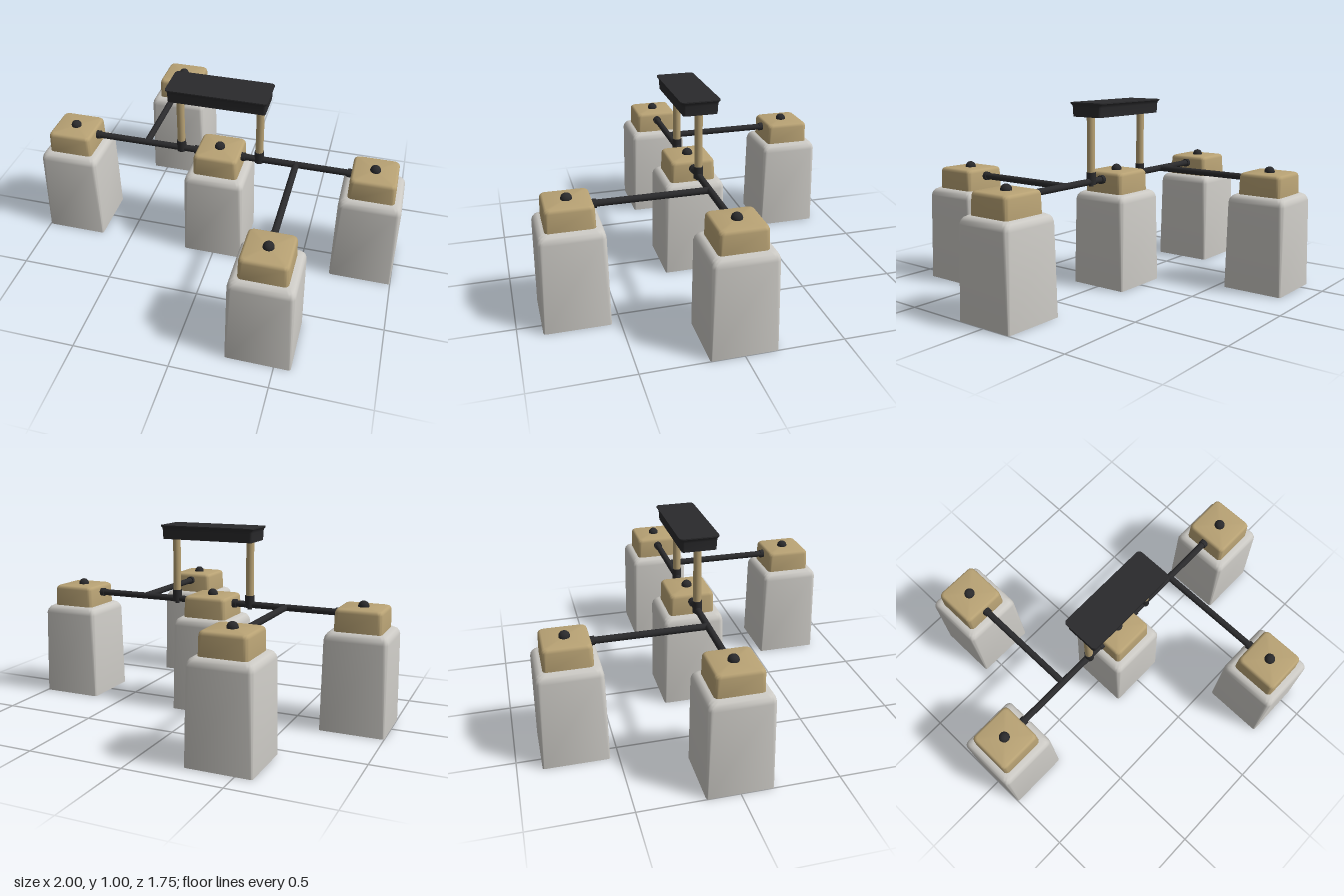
import * as THREE from 'three';
import { toCreasedNormals } from 'three/addons/utils/BufferGeometryUtils.js';

const black = new THREE.MeshStandardMaterial({ name: 'black metal', color: 0x2a2a2c });
const brass = new THREE.MeshStandardMaterial({ name: 'brushed brass', color: 0xb8a274 });
const glass = new THREE.MeshStandardMaterial({ name: 'frosted glass', color: 0xcbc9c4 });

const ROD_Y = 0.585;

// Skin through rounded rectangles, each given as [y, halfX, halfZ, cornerRadius]
function loft(rings, creaseAngle = 0.7) {
  const steps = 5;
  const n = 4 * (steps + 1);
  const positions = [];
  const index = [];
  for (const [y, hx, hz, r] of rings) {
    for (let q = 0; q < 4; q++) {
      const sx = q === 0 || q === 3 ? 1 : -1;
      const sz = q < 2 ? -1 : 1;
      for (let s = 0; s <= steps; s++) {
        const a = (q + s / steps) * Math.PI / 2;
        positions.push(sx * (hx - r) + r * Math.cos(a), y, sz * (hz - r) - r * Math.sin(a));
      }
    }
  }
  for (let k = 0; k < rings.length - 1; k++) {
    for (let i = 0; i < n; i++) {
      const a = k * n + i;
      const b = k * n + (i + 1) % n;
      index.push(a, b, b + n, a, b + n, a + n);
    }
  }
  const g = new THREE.BufferGeometry();
  g.setAttribute('position', new THREE.Float32BufferAttribute(positions, 3));
  g.setIndex(index);
  return toCreasedNormals(g, creaseAngle);
}

function part(parent, name, geometry, material, x = 0, y = 0, z = 0) {
  const mesh = new THREE.Mesh(geometry, material);
  mesh.name = name;
  mesh.position.set(x, y, z);
  parent.add(mesh);
  return mesh;
}

// Cylinder between two points
function rod(parent, name, from, to, radius, material) {
  const a = new THREE.Vector3(...from);
  const b = new THREE.Vector3(...to);
  const dir = b.clone().sub(a);
  const mesh = part(parent, name, new THREE.CylinderGeometry(radius, radius, dir.length(), 20), material);
  mesh.position.copy(a).add(b).multiplyScalar(0.5);
  mesh.quaternion.setFromUnitVectors(new THREE.Vector3(0, 1, 0), dir.normalize());
}

const square = (y, h, r) => [y, h, h, r];
const centre = (y) => [y, 0.0004, 0.0004, 0.0002];

// Open-bottomed shell: down the inside, across the rim, up the outside
const shadeGeometry = loft([
  centre(0.502), square(0.502, 0.125, 0.025), square(0.495, 0.142, 0.025), square(0.475, 0.151, 0.02),
  square(0, 0.158, 0.006),
  square(0, 0.167, 0.012),
  square(0.47, 0.163, 0.026), square(0.488, 0.159, 0.028), square(0.502, 0.15, 0.028),
  square(0.511, 0.134, 0.028), centre(0.511),
]);

const capGeometry = loft([
  centre(0.508), square(0.508, 0.122, 0.022), square(0.606, 0.12, 0.024), square(0.616, 0.117, 0.024),
  square(0.622, 0.112, 0.024), square(0.625, 0.105, 0.022), centre(0.625),
]);

const canopyGeometry = loft([
  centre(0.925), [0.925, 0.258, 0.09, 0.012], [0.975, 0.26, 0.093, 0.014], [0.985, 0.262, 0.096, 0.016],
  [0.994, 0.268, 0.104, 0.02], [1, 0.268, 0.104, 0.02], centre(1),
], 0.5);

// One lamp: glass shade, brass cap and finial; each socket direction gets a collar
function lamp(x, z, sockets) {
  const g = new THREE.Group();
  g.name = 'lamp';
  part(g, 'shade', shadeGeometry, glass);
  part(g, 'cap', capGeometry, brass);
  part(g, 'finial', new THREE.SphereGeometry(0.028, 20, 14), black, 0, 0.628, 0);
  for (const [dx, dz] of sockets) {
    rod(g, 'collar', [dx * 0.11, ROD_Y, dz * 0.11], [dx * 0.142, ROD_Y, dz * 0.142], 0.023, black);
  }
  g.position.set(x, 0, z);
  return g;
}

export function createModel() {
  const model = new THREE.Group();
  model.name = 'ceilingLight';

  // Lamps along the main bar and at the ends of the side arms
  model.add(lamp(0, 0, [[1, 0], [-1, 0]]));
  for (const s of [-1, 1]) {
    model.add(lamp(s * 0.833, 0, [[-s, 0]]));
    model.add(lamp(s * 0.417, s * 0.71, [[0, -s]]));

    // Bars
    rod(model, 'mainBar', [s * 0.1, ROD_Y, 0], [s * 0.72, ROD_Y, 0], 0.0175, black);
    rod(model, 'sideArm', [s * 0.417, ROD_Y, 0], [s * 0.417, ROD_Y, s * 0.6], 0.0175, black);

    // Hanging posts with their joints
    rod(model, 'post', [s * 0.217, 0.61, 0], [s * 0.217, 0.93, 0], 0.021, brass);
    rod(model, 'postJoint', [s * 0.217, 0.57, 0], [s * 0.217, 0.635, 0], 0.025, black);
    rod(model, 'jointNut', [s * 0.217, 0.56, 0], [s * 0.217, 0.575, 0], 0.012, black);
  }

  part(model, 'canopy', canopyGeometry, black);
  return model;
}
